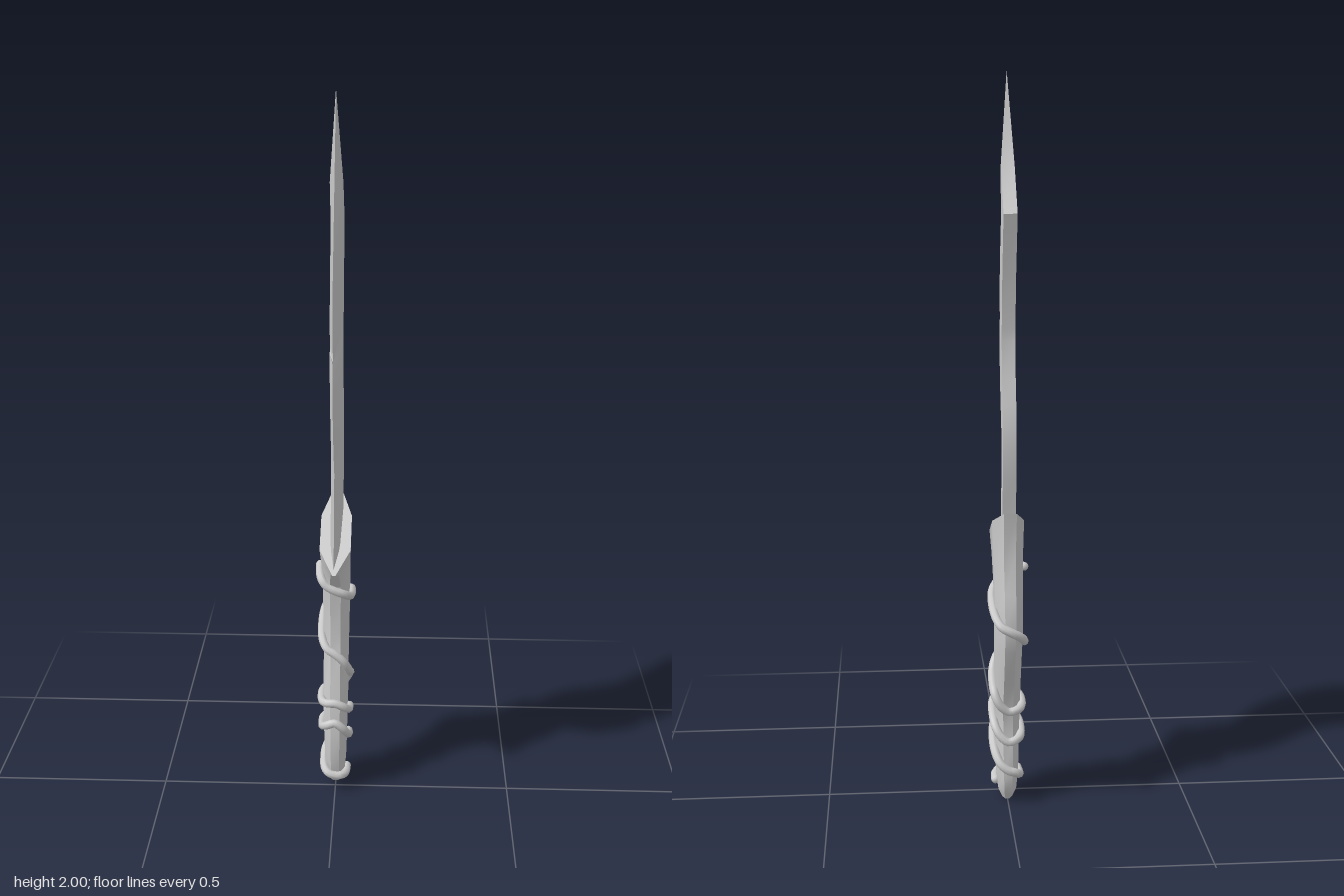
import * as THREE from 'three';
import { toCreasedNormals } from 'three/addons/utils/BufferGeometryUtils.js';

const material = new THREE.MeshStandardMaterial({ color: 0xcccccc });

// Skin a stack of equal-sized loops (bottom to top, counter-clockwise from above) and close both ends.
function loft(loops, crease) {
  const n = loops[0].length;
  const points = loops.flat();
  const index = [];
  for (let i = 0; i < loops.length - 1; i++) {
    for (let j = 0; j < n; j++) {
      const a = i * n + j, b = i * n + (j + 1) % n;
      index.push(a, b, b + n, a, b + n, a + n);
    }
  }
  [0, loops.length - 1].forEach((row, top) => {
    const centre = new THREE.Vector3();
    loops[row].forEach((p) => centre.addScaledVector(p, 1 / n));
    points.push(centre);
    for (let j = 0; j < n; j++) {
      const a = row * n + j, b = row * n + (j + 1) % n;
      index.push(points.length - 1, top ? a : b, top ? b : a);
    }
  });
  const geometry = new THREE.BufferGeometry().setFromPoints(points);
  geometry.setIndex(index);
  return toCreasedNormals(geometry, crease);
}

// Blade rows: spine z, spine y, edge z, edge y, half thickness of the spine
const BLADE = [
  [-0.115, 0.78, 0.135, 0.745, 0.018],
  [-0.125, 0.87, 0.105, 0.835, 0.018],
  [-0.138, 0.94, 0.095, 0.94, 0.018],
  [-0.145, 1.02, 0.08, 1.0, 0.018],
  [-0.142, 1.08, 0.115, 1.05, 0.018],
  [-0.13, 1.14, 0.165, 1.14, 0.018],
  [-0.11, 1.21, 0.19, 1.235, 0.018],
  [-0.095, 1.305, 0.205, 1.345, 0.018],
  [-0.098, 1.34, 0.14, 1.325, 0.018],
  [-0.105, 1.39, 0.2, 1.39, 0.018],
  [-0.12, 1.48, 0.18, 1.53, 0.018],
  [-0.165, 1.64, 0.135, 1.63, 0.018],
  [-0.07, 1.755, 0.09, 1.73, 0.018],
  [-0.03, 2.0, -0.03, 2.0, 0],
];

// Handle rows: front z, front y, back z, back y, half width, front bluntness
const HANDLE = [
  [-0.015, 0.01, -0.065, 0.004, 0.014, 0.5],
  [0.02, 0.035, -0.085, 0.03, 0.025, 0.4],
  [0.04, 0.1, -0.1, 0.08, 0.03, 0.4],
  [0.04, 0.2, -0.085, 0.2, 0.033, 0.4],
  [0.03, 0.31, -0.09, 0.28, 0.035, 0.4],
  [0.0, 0.44, -0.128, 0.37, 0.035, 0.4],
  [0.0, 0.5, -0.17, 0.47, 0.036, 0.4],
  [0.0, 0.55, -0.185, 0.54, 0.037, 0.4],
  [0.01, 0.64, -0.17, 0.63, 0.038, 0.4],
  [0.05, 0.695, -0.145, 0.73, 0.04, 0.3],
  [0.115, 0.72, -0.165, 0.855, 0.043, 0.1],
];

// Wedge section: flat spine at the back, a knee, and a sharp edge at the front
function bladeLoop([sz, sy, ez, ey, half]) {
  const at = (x, t) => new THREE.Vector3(x, sy + (ey - sy) * t, sz + (ez - sz) * t);
  const knee = half * 0.75;
  return [at(half, 0), at(-half, 0), at(-knee, 0.5), at(0, 1), at(knee, 0.5)];
}

// Eight-sided handle section running from front to back
function handleLoop([fz, fy, bz, by, w, blunt]) {
  const at = (x, t) => new THREE.Vector3(x * w, fy + (by - fy) * t, fz + (bz - fz) * t);
  return [
    at(blunt, 0), at(1, 0.3), at(1, 0.72), at(0.4, 1),
    at(-0.4, 1), at(-1, 0.72), at(-1, 0.3), at(-blunt, 0),
  ];
}

// Look up a handle column at height y
function handleValue(column, heightColumn, y) {
  let i = 0;
  while (i < HANDLE.length - 2 && HANDLE[i + 1][heightColumn] < y) i++;
  const a = HANDLE[i], b = HANDLE[i + 1];
  const t = (y - a[heightColumn]) / (b[heightColumn] - a[heightColumn]);
  return THREE.MathUtils.lerp(a[column], b[column], THREE.MathUtils.clamp(t, 0, 1));
}

// Cord spiralling down the handle; heights are given at each quarter turn
function cordPath() {
  const heights = [0.68, 0.63, 0.585, 0.535, 0.48, 0.43, 0.35, 0.275, 0.285,
    0.29, 0.25, 0.185, 0.2, 0.23, 0.165, 0.105, 0.075, 0.055, 0.05];
  const rounded = (v) => Math.sign(v) * Math.abs(v) ** 0.65;
  const points = [];
  const steps = 4;
  for (let k = 0; k <= (heights.length - 1) * steps; k++) {
    const q = Math.floor(k / steps);
    const y = THREE.MathUtils.lerp(heights[q], heights[q + 1] ?? heights[q], (k % steps) / steps);
    const angle = (k / steps) * Math.PI / 2;
    const front = handleValue(0, 1, y) + 0.006;
    const back = handleValue(2, 3, y) - 0.008;
    const width = handleValue(4, 1, y) + 0.006;
    points.push(new THREE.Vector3(
      -rounded(Math.cos(angle)) * width,
      y,
      (front + back) / 2 + rounded(Math.sin(angle)) * (front - back) / 2,
    ));
  }
  return new THREE.CatmullRomCurve3(points);
}

export function createModel() {
  const group = new THREE.Group();
  const add = (name, geometry) => {
    const mesh = new THREE.Mesh(geometry, material);
    mesh.name = name;
    group.add(mesh);
  };

  add('blade', loft(BLADE.map(bladeLoop), 0.6));
  add('handle', loft(HANDLE.map(handleLoop), 0.5));

  // Cord with rounded ends
  const path = cordPath();
  const radius = 0.012;
  add('cordWrap', new THREE.TubeGeometry(path, 220, radius, 8));
  for (const t of [0, 1]) {
    const cap = new THREE.SphereGeometry(radius, 8, 6);
    cap.translate(...path.getPoint(t).toArray());
    add('cordEnd', cap);
  }
  return group;
}
